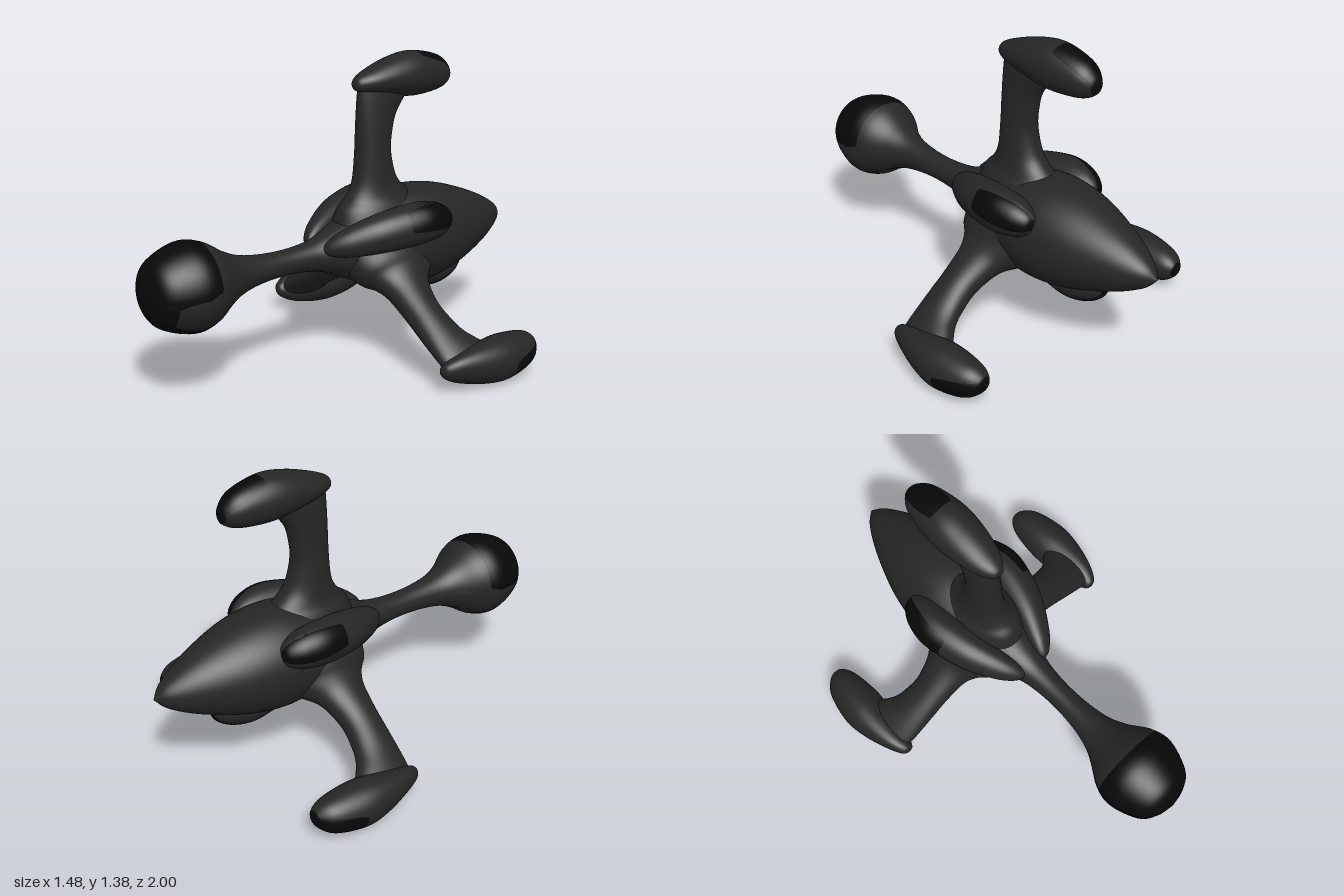
import * as THREE from 'three';
import { mergeVertices } from 'three/addons/utils/BufferGeometryUtils.js';

const AXIS_Y = 0.525;
const hullMat = new THREE.MeshStandardMaterial({ color: 0x262626 });
const darkMat = new THREE.MeshStandardMaterial({ color: 0x080808 });
const smooth = THREE.MathUtils.smoothstep;
const rad = THREE.MathUtils.degToRad;

// Smooth skin over elliptical sections [cx, cy, z, rx, ry], from u = from(angle) to u = to(angle)
function loft(rows, from, to, nu, nv = 72) {
  const spline = new THREE.CubicInterpolant(rows.map((_, i) => i / (rows.length - 1)), rows.flat(), 5);
  const flip = rows[rows.length - 1][2] > rows[0][2];
  const pos = [], idx = [];
  for (let i = 0; i <= nu; i++) {
    for (let j = 0; j < nv; j++) {
      const a = (j / nv) * Math.PI * 2;
      const u = THREE.MathUtils.lerp(from(a), to(a), i / nu);
      const [cx, cy, z, rx, ry] = spline.evaluate(u);
      pos.push(cx + Math.max(rx, 0) * Math.cos(a), cy + Math.max(ry, 0) * Math.sin(a), z);
      if (i === nu) continue;
      const k = (j + 1) % nv, p = i * nv + j, q = p + nv, r = i * nv + k, s = r + nv;
      if (flip) idx.push(p, r, q, r, s, q);
      else idx.push(p, q, r, r, q, s);
    }
  }
  let g = new THREE.BufferGeometry();
  g.setAttribute('position', new THREE.Float32BufferAttribute(pos, 3));
  g.setIndex(idx);
  g = mergeVertices(g, 1e-5);
  g.computeVertexNormals();
  return g;
}

function part(name, geometry, material) {
  const m = new THREE.Mesh(geometry, material);
  m.name = name;
  return m;
}

const start = () => 0, end = () => 1;

// Hull whose first end is covered by a dark patch, reaching to u = edge(angle)
function patched(name, patchName, rows, edge, nu) {
  const g = new THREE.Group();
  g.name = name;
  g.add(part(patchName, loft(rows, start, edge, 24), darkMat));
  g.add(part(name + 'Shell', loft(rows, edge, end, nu), hullMat));
  return g;
}

// Angle in degrees between a and a reference direction
const away = (a, deg) => Math.abs(((a * 180 / Math.PI - deg + 540) % 360) - 180);

export function createModel() {
  const model = new THREE.Group();
  const ship = new THREE.Group();
  ship.name = 'ship';
  ship.position.y = AXIS_Y;
  model.add(ship);

  // Fuselage: round canopy, thin neck and pointed tail
  const profile = [
    [1, 0], [0.982, 0.08], [0.93, 0.15], [0.8, 0.197], [0.7, 0.178], [0.6, 0.115],
    [0.5, 0.076], [0.35, 0.058], [0.2, 0.063], [0.08, 0.09], [-0.1, 0.172], [-0.25, 0.215],
    [-0.42, 0.236], [-0.6, 0.21], [-0.8, 0.138], [-0.94, 0.062], [-1, 0],
  ].map(([z, r]) => [0, 0, z, r, r]);
  const canopyEdge = (a) => {
    const d = Math.min(away(a, -27), away(a, 207)); // notches low on both sides
    return THREE.MathUtils.lerp(0.135, 0.237, smooth(d, 18, 34));
  };
  ship.add(patched('fuselage', 'canopy', profile, canopyEdge, 90));

  // Arms with pods: one up, two down and out
  const armRows = [ // distance, half width, front z, back z
    [0.1, 0.16, 0.01, -0.48], [0.18, 0.125, -0.02, -0.44], [0.23, 0.097, -0.065, -0.39],
    [0.3, 0.081, -0.098, -0.325], [0.42, 0.071, -0.11, -0.292], [0.52, 0.067, -0.112, -0.3],
    [0.6, 0.064, -0.113, -0.325], [0.68, 0.061, -0.115, -0.385], [0.74, 0.055, -0.12, -0.42],
  ].map(([d, w, f, b]) => [0, -(f + b) / 2, d, w, (f - b) / 2]);
  const armGeo = loft(armRows, start, end, 40, 48).rotateX(-Math.PI / 2);

  const podRows = [
    [0, 0.735, -0.642, 0, 0], [0, 0.74, -0.625, 0.04, 0.042], [0, 0.751, -0.56, 0.08, 0.082],
    [0, 0.76, -0.42, 0.104, 0.103], [0, 0.76, -0.3, 0.099, 0.087], [0, 0.752, -0.18, 0.073, 0.056],
    [0, 0.744, -0.108, 0.035, 0.03], [0, 0.74, -0.09, 0, 0],
  ];
  const podEdge = (a) => THREE.MathUtils.lerp(0.41, 0.13, smooth(away(a, 90), 32, 75));

  for (const [side, angle] of [['upper', 0], ['left', -123.2], ['right', 123.2]]) {
    const wing = new THREE.Group();
    wing.name = side + 'Wing';
    wing.rotation.z = rad(angle);
    wing.add(part(side + 'Arm', armGeo, hullMat));
    wing.add(patched(side + 'Pod', side + 'PodExhaust', podRows, podEdge, 40));
    ship.add(wing);
  }

  // Blisters between the arms; the lower one sits deeper and further back
  const blisterRows = [
    [0, 0.225, -0.492, 0, 0], [0, 0.23, -0.475, 0.045, 0.045], [0, 0.238, -0.4, 0.083, 0.083],
    [0, 0.24, -0.28, 0.097, 0.095], [0, 0.195, -0.1, 0.088, 0.085], [0, 0.13, 0.04, 0.062, 0.06],
    [0, 0.092, 0.108, 0.03, 0.03], [0, 0.08, 0.125, 0, 0],
  ];
  const blisterEdge = (a) => THREE.MathUtils.lerp(0.49, 0.07, smooth(away(a, 90), 28, 66));

  for (const [side, angle, dy, dz] of [['left', -60, 0, 0], ['right', 60, 0, 0], ['lower', 180, -0.05, -0.24]]) {
    const rows = blisterRows.map(([x, y, z, rx, ry]) => [x, y + dy, z + dz, rx, ry]);
    const blister = patched(side + 'Blister', side + 'BlisterWindow', rows, blisterEdge, 40);
    blister.rotation.z = rad(angle);
    ship.add(blister);
  }

  return model;
}
